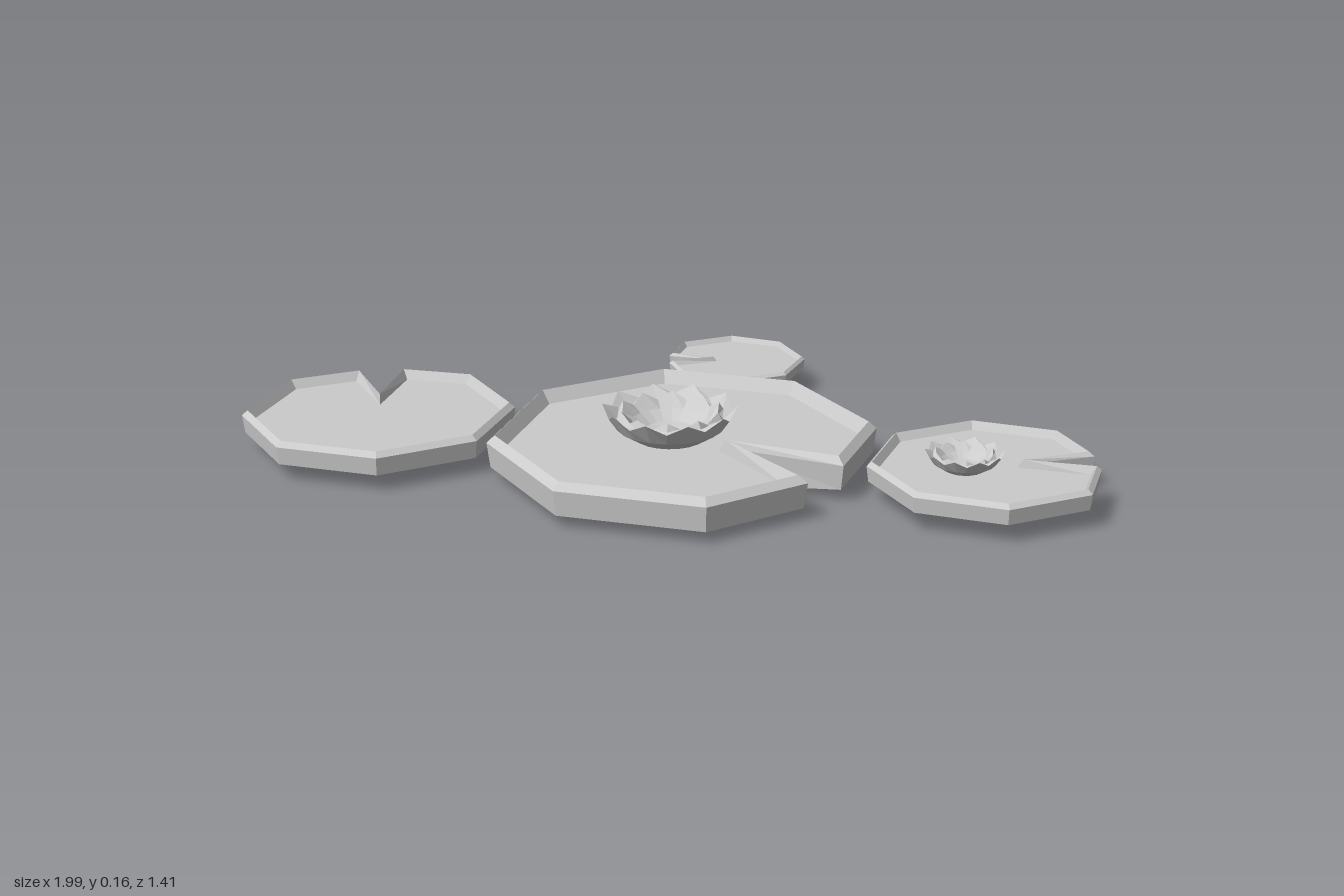
import * as THREE from 'three';

const material = new THREE.MeshStandardMaterial({ color: 0xcccccc, flatShading: true });

// Skins a stack of closed rings (bottom first) and closes both ends with fans.
// Without given hubs, each end fans from the ring's first point.
function loft(rings, bottomHub, topHub) {
  const pos = [];
  const tri = (...pts) => pts.forEach((p) => pos.push(...p));
  const n = rings[0].length;
  for (let r = 0; r < rings.length - 1; r++) {
    const a = rings[r], b = rings[r + 1];
    for (let i = 0; i < n; i++) {
      const j = (i + 1) % n;
      tri(a[i], b[i], b[j]);
      tri(a[i], b[j], a[j]);
    }
  }
  const low = rings[0], high = rings[rings.length - 1];
  for (let i = 0; i < n; i++) {
    const j = (i + 1) % n;
    if (bottomHub || (i && j)) tri(low[i], low[j], bottomHub || low[0]);
    if (topHub || (i && j)) tri(high[i], topHub || high[0], high[j]);
  }
  const geo = new THREE.BufferGeometry();
  geo.setAttribute('position', new THREE.Float32BufferAttribute(pos, 3));
  geo.computeVertexNormals();
  return geo;
}

// Notched octagon, inset by d; the notch opens along +x
function padRing(d, y, apexY = y) {
  const ring = [[0.15 - d, apexY, 0], [0.42 - d * 1.1, y, 0.07 + d * 0.5]];
  for (let k = 1; k < 8; k++) {
    const a = (k * Math.PI) / 4;
    ring.push([(0.47 - d) * Math.cos(a), y, (0.47 - d) * Math.sin(a)]);
  }
  ring.push([0.42 - d * 1.1, y, -0.07 - d * 0.5]);
  return ring;
}

// Leaf: underside, outer wall, bevelled rim, sunken floor
const padGeometry = loft([
  padRing(0.008, -0.04, -0.07),
  padRing(0, 0.022),
  padRing(0.02, 0.04),
  padRing(0.042, 0.008),
]);

// Flower ring with alternating petal tips and valleys
function petalRing(r, y, dr = 0, dy = 0) {
  return Array.from({ length: 20 }, (_, i) => {
    const s = i % 2 ? -1 : 1;
    const a = (i * Math.PI) / 10;
    return [(r + s * dr) * Math.cos(a), y + s * dy, (r + s * dr) * Math.sin(a)];
  });
}

// Cup of outer petals, inner petals and a hollow centre
const flowerGeometry = loft([
  petalRing(0.08, 0.004),
  petalRing(0.13, 0.035),
  petalRing(0.157, 0.077, 0.006, 0.012),
  petalRing(0.13, 0.06, -0.003, -0.006),
  petalRing(0.118, 0.074, -0.004, -0.01),
  petalRing(0.092, 0.048),
  petalRing(0.06, 0.026),
], [0, 0.002, 0], [0, 0.016, 0]);

export function createModel() {
  const group = new THREE.Group();
  const add = (name, geometry, x, y, z, scale, degrees = 0) => {
    const mesh = new THREE.Mesh(geometry, material);
    mesh.name = name;
    mesh.position.set(x, y, z);
    mesh.scale.setScalar(scale);
    mesh.rotation.y = THREE.MathUtils.degToRad(degrees);
    group.add(mesh);
  };

  // Floating leaves
  add('largeLilyPad', padGeometry, 0.04, 0.07, 0.05, 1);
  add('rightLilyPad', padGeometry, -0.665, 0.07, 0.37, 0.713, 134);
  add('leftLilyPad', padGeometry, 0.705, 0.07, -0.26, 0.61, 41);
  add('backLilyPad', padGeometry, -0.245, 0.07, -0.517, 0.4, -141);

  // Blossoms
  add('largeFlower', flowerGeometry, 0, 0.072, 0.05, 1);
  add('smallFlower', flowerGeometry, 0.665, 0.074, -0.215, 0.57);
  return group;
}
